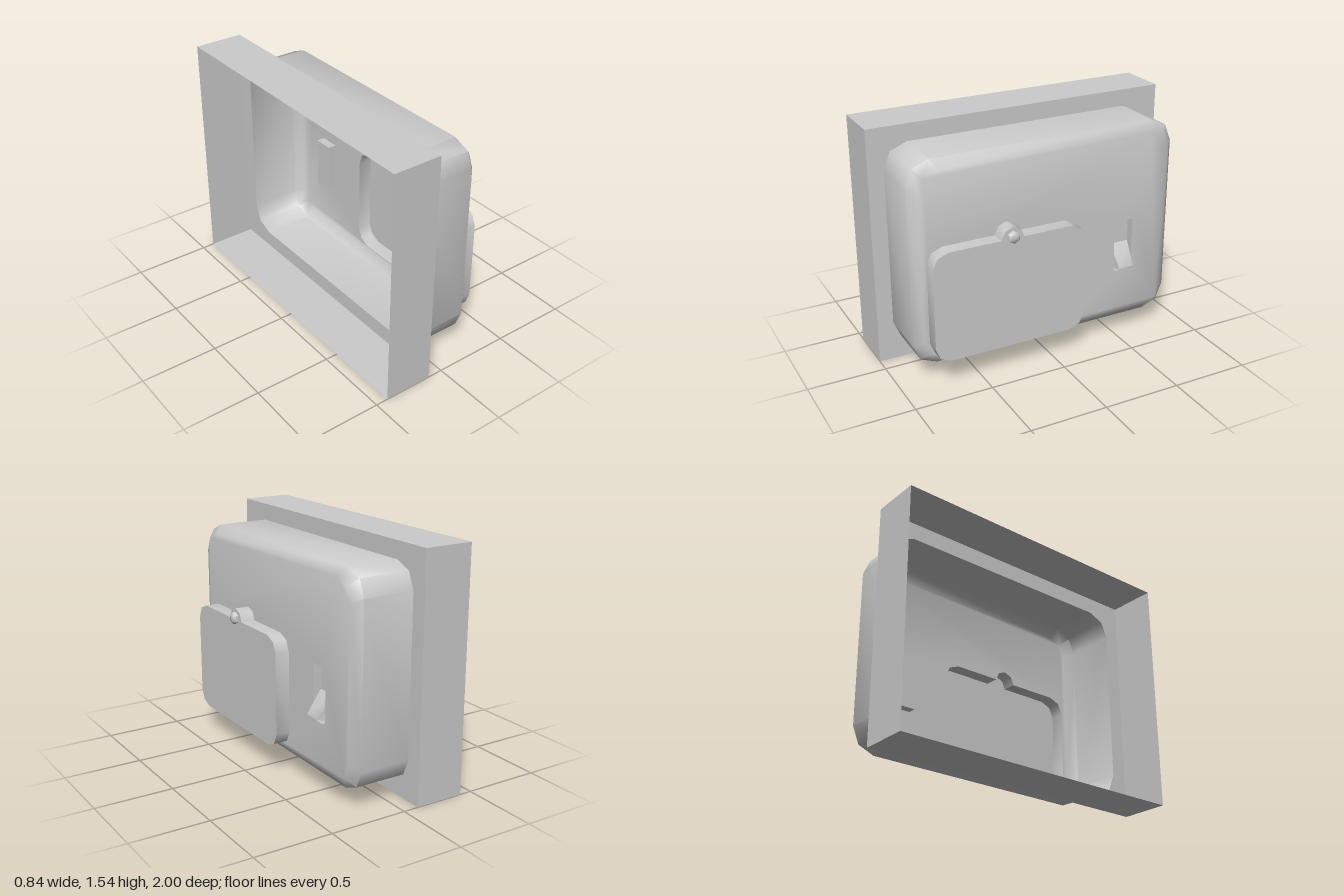
import * as THREE from 'three';
import { mergeGeometries, toCreasedNormals } from 'three/addons/utils/BufferGeometryUtils.js';

const CREASE = 0.9;

// Outlines are counter-clockwise [u, y] points seen from +x, where u = -z.
function roundedOutline(u0, u1, y0, y1, r) {
  const pts = [];
  const corners = [[u1 - r, y0 + r], [u1 - r, y1 - r], [u0 + r, y1 - r], [u0 + r, y0 + r]];
  corners.forEach(([cu, cy], k) => {
    for (let s = 0; s <= 2; s++) {
      const a = (k - 1) * Math.PI / 2 + s * Math.PI / 4;
      pts.push([cu + r * Math.cos(a), cy + r * Math.sin(a)]);
    }
  });
  return pts;
}

const rect = (u0, u1, y0, y1) => [[u0, y0], [u1, y0], [u1, y1], [u0, y1]];

// Wall through a list of [x, outline] rings
function wall(rings) {
  const pos = [];
  for (let k = 0; k + 1 < rings.length; k++) {
    const [xa, A] = rings[k], [xb, B] = rings[k + 1];
    for (let i = 0; i < A.length; i++) {
      const j = (i + 1) % A.length;
      const a = [xa, A[i][1], -A[i][0]], b = [xa, A[j][1], -A[j][0]];
      const c = [xb, B[j][1], -B[j][0]], d = [xb, B[i][1], -B[i][0]];
      pos.push(...a, ...b, ...c, ...a, ...c, ...d);
    }
  }
  const g = new THREE.BufferGeometry();
  g.setAttribute('position', new THREE.Float32BufferAttribute(pos, 3));
  g.computeVertexNormals();
  return g;
}

// Flat sheet facing +x, with holes
function sheet(x, outline, holes = []) {
  const toV = (o) => o.map(([u, y]) => new THREE.Vector2(u, y));
  const shape = new THREE.Shape(toV(outline));
  holes.forEach((h) => shape.holes.push(new THREE.Path(toV(h))));
  const g = new THREE.ShapeGeometry(shape).toNonIndexed();
  g.deleteAttribute('uv');
  return g.rotateY(Math.PI / 2).translate(x, 0, 0);
}

export function createModel() {
  const group = new THREE.Group();
  const material = new THREE.MeshStandardMaterial({ color: 0xcccccc, side: THREE.DoubleSide });
  const add = (name, ...geos) => {
    const mesh = new THREE.Mesh(toCreasedNormals(mergeGeometries(geos), CREASE), material);
    mesh.name = name;
    group.add(mesh);
    return mesh;
  };

  const frame = rect(-1, 1, 0, 1.54);
  const body = roundedOutline(-0.897, 0.897, 0.11, 1.43, 0.15);
  const bodyFront = roundedOutline(-0.843, 0.843, 0.165, 1.375, 0.125);
  const slot = rect(0.472, 0.604, 0.478, 0.812);

  // Cover outline with a small screw tab in its top edge
  const cover = roundedOutline(-0.81, 0.2, 0.185, 0.902, 0.1);
  cover.splice(6, 0, [-0.22, 0.902], [-0.243, 0.955], [-0.295, 0.977], [-0.347, 0.955], [-0.37, 0.902]);

  // Frame, open at the rear
  add('frame', wall([[-0.42, frame], [-0.1, frame]]), sheet(-0.1, frame, [body]));

  // Hollow body with a bevelled front edge
  add('body', wall([[-0.1, body], [0.235, body], [0.29, bodyFront]]), sheet(0.29, bodyFront, [cover, slot]));

  // Hollow cover
  add('cover', wall([[0.29, cover], [0.383, cover]]), sheet(0.383, cover));

  // Recess behind the latch
  add('latchRecess', wall([[0.235, slot], [0.29, slot]]), sheet(0.235, slot));

  // Latch: a ramp running out of the recess, its tip narrowed
  const profile = [[0.235, 0.478], [0.31, 0.478], [0.338, 0.495], [0.338, 0.51], [0.235, 0.64]];
  const latch = new THREE.ExtrudeGeometry(
    new THREE.Shape(profile.map(([x, y]) => new THREE.Vector2(x, y))), { depth: 0.132, bevelEnabled: false });
  latch.translate(0, 0, -0.604);
  const p = latch.attributes.position;
  for (let i = 0; i < p.count; i++) {
    if (p.getX(i) > 0.33) p.setZ(i, p.getZ(i) + (p.getZ(i) < -0.54 ? 0.014 : -0.014));
  }
  latch.deleteAttribute('uv');
  add('latch', latch);

  // Six-sided domed screw head
  const screw = new THREE.LatheGeometry(
    [[0.04, 0], [0.04, 0.018], [0.027, 0.029], [0, 0.034]].map(([r, h]) => new THREE.Vector2(r, h)), 6);
  screw.rotateY(Math.PI / 2).rotateZ(-Math.PI / 2).translate(0.382, 0.915, 0.295);
  screw.deleteAttribute('uv');
  add('screw', screw);

  return group;
}
